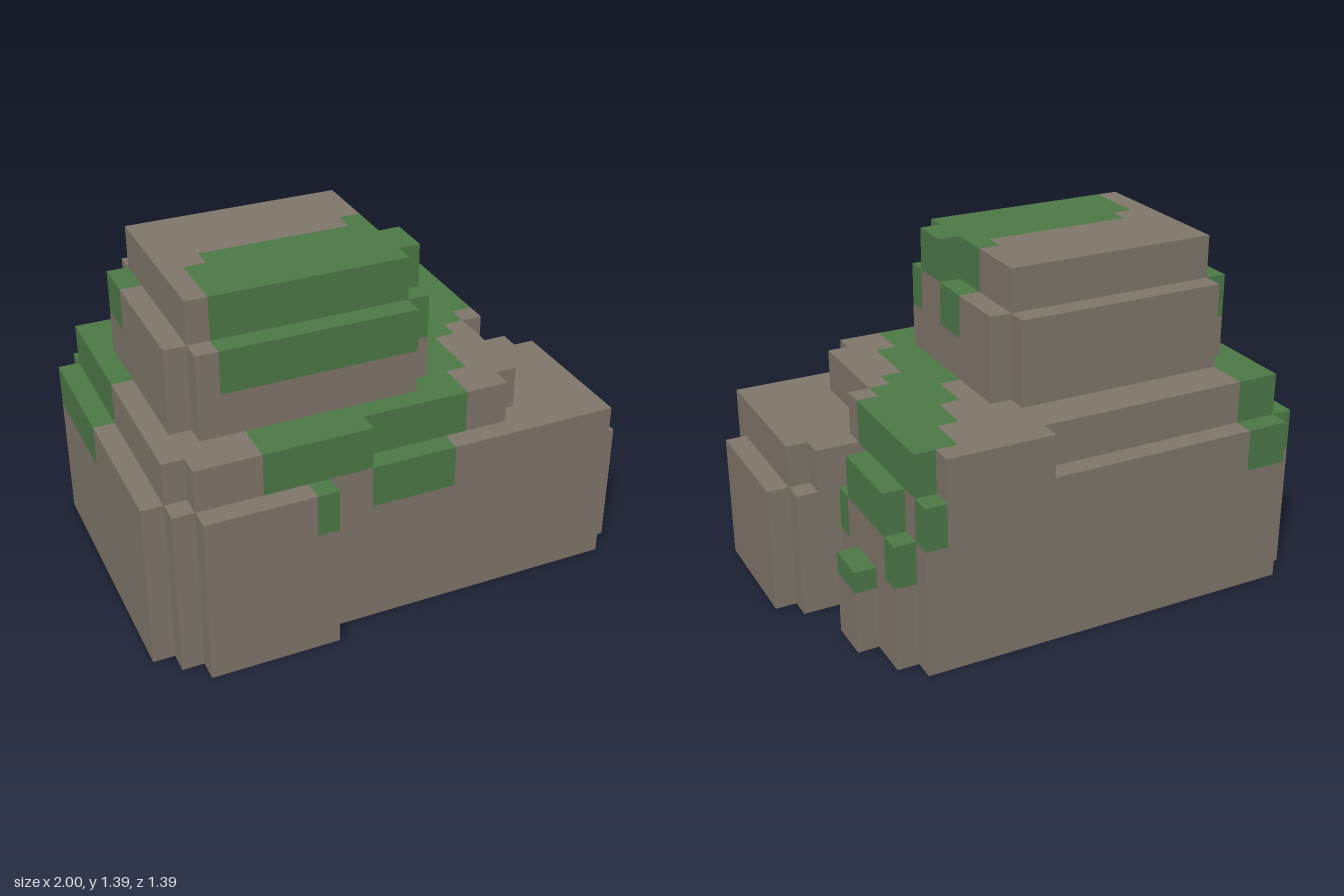
import * as THREE from 'three';

const U = 2 / 23, NX = 23, NZ = 16;

// Terrace footprints in grid cells: x0, x1, z0, z1, height (later ones override)
const TERRACES = [
  // base
  [1, 19, 0, 1, 8], [0, 20, 1, 7, 8], [0, 21, 7, 8, 8], [0, 22, 8, 14, 8],
  [1, 22, 14, 15, 8], [2, 8, 15, 16, 8],
  // low ledges on the left side
  [20, 21, 3, 5, 4], [19, 20, 1, 2, 6], [19, 20, 6, 7, 6], [21, 22, 7, 8, 6], [22, 23, 8, 14, 6],
  // body
  [13, 18, 0, 1, 10], [1, 19, 1, 8, 10], [1, 18, 8, 13, 10], [1, 17, 13, 14, 10], [2, 10, 14, 15, 10],
  // shoulder
  [2, 14, 4, 12, 14], [3, 13, 3, 13, 14],
  // crown
  [3, 13, 4, 12, 16], [13, 14, 9, 11, 16],
];

// Moss patches seen as areas on the ground plan: x0, x1, z0, z1
const MOSS = [
  [0, 3, 0, 6], [0, 2, 6, 7],
  [18, 19, 0, 1], [17, 20, 1, 3], [16, 21, 3, 5], [15, 20, 5, 7], [12, 18, 7, 8],
  [5, 17, 8, 9], [4, 16, 9, 12], [4, 15, 12, 13], [5, 15, 13, 14], [5, 14, 14, 15], [7, 8, 15, 16],
];

const TIER_NAMES = { 4: 'ledge', 6: 'ledge', 8: 'base', 10: 'body', 14: 'shoulder', 16: 'crown' };

const inside = ([x0, x1, z0, z1], x, z) => x >= x0 && x < x1 && z >= z0 && z < z1;

function heightAt(x, z) {
  let h = 0;
  for (const t of TERRACES) if (inside(t, x, z)) h = t[4];
  return h;
}

// Adds a quad given counter-clockwise corners in grid units
function addQuad(list, a, b, c, d) {
  for (const [x, y, z] of [a, b, c, a, c, d]) {
    list.push((x - NX / 2) * U, y * U, (z - NZ / 2) * U);
  }
}

function addWall(list, x, z, dx, dz, lo, hi) {
  if (hi <= lo) return;
  const cx = x + 0.5 + dx / 2, cz = z + 0.5 + dz / 2;
  const tx = dz / 2, tz = -dx / 2;
  addQuad(list, [cx - tx, lo, cz - tz], [cx + tx, lo, cz + tz],
    [cx + tx, hi, cz + tz], [cx - tx, hi, cz - tz]);
}

export function createModel() {
  const rock = new THREE.MeshStandardMaterial({ color: 0x82786c, side: THREE.DoubleSide });
  rock.name = 'rock';
  const moss = new THREE.MeshStandardMaterial({ color: 0x4e7a48, side: THREE.DoubleSide });
  moss.name = 'moss';

  // Collect the open-bottomed skin of every terrace, split into stone and moss
  const parts = {};
  for (let x = 0; x < NX; x++) {
    for (let z = 0; z < NZ; z++) {
      const h = heightAt(x, z);
      if (!h) continue;
      const tier = parts[TIER_NAMES[h]] ??= { Rock: [], Moss: [] };
      const mossy = MOSS.some((m) => inside(m, x, z));

      // top of the column
      addQuad(mossy ? tier.Moss : tier.Rock,
        [x, h, z + 1], [x + 1, h, z + 1], [x + 1, h, z], [x, h, z]);

      // exposed sides, with moss hanging over the upper edge
      const edge = mossy ? h - (h === 4 ? 1 : 2) : h;
      for (const [dx, dz] of [[1, 0], [-1, 0], [0, 1], [0, -1]]) {
        const low = heightAt(x + dx, z + dz);
        addWall(tier.Rock, x, z, dx, dz, low, edge);
        addWall(tier.Moss, x, z, dx, dz, Math.max(low, edge), h);
      }
    }
  }

  const model = new THREE.Group();
  model.name = 'mossyRock';
  for (const [name, tier] of Object.entries(parts)) {
    const group = new THREE.Group();
    group.name = name;
    for (const [kind, points] of Object.entries(tier)) {
      if (!points.length) continue;
      const geometry = new THREE.BufferGeometry();
      geometry.setAttribute('position', new THREE.Float32BufferAttribute(points, 3));
      geometry.computeVertexNormals();
      const mesh = new THREE.Mesh(geometry, kind === 'Moss' ? moss : rock);
      mesh.name = name + kind;
      group.add(mesh);
    }
    model.add(group);
  }
  return model;
}
